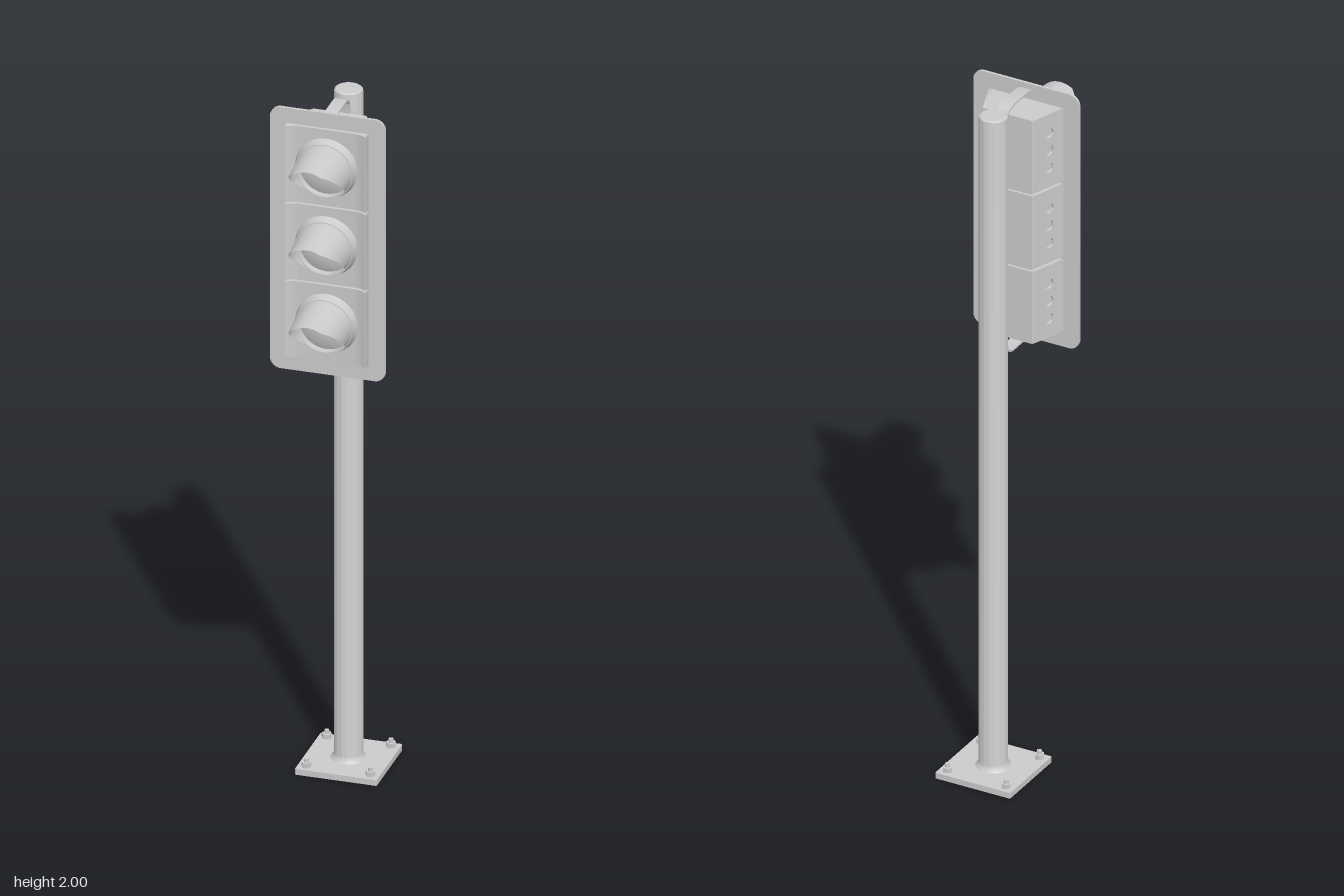
import * as THREE from 'three';
import { toCreasedNormals } from 'three/addons/utils/BufferGeometryUtils.js';

const material = new THREE.MeshStandardMaterial({ color: 0xcccccc });
const thinMaterial = new THREE.MeshStandardMaterial({ color: 0xcccccc, side: THREE.DoubleSide });
const MID_Y = 1.615, PITCH = 0.229, SECTION_H = 0.219, POLE_Z = -0.127;

function add(parent, name, geometry, x = 0, y = 0, z = 0, mat = material) {
  const mesh = new THREE.Mesh(geometry, mat);
  mesh.name = name;
  mesh.position.set(x, y, z);
  parent.add(mesh);
  return mesh;
}

const polygon = pts => new THREE.Shape(pts.map(p => new THREE.Vector2(...p)));
const extrude = (shape, depth, extra = {}) => toCreasedNormals(
  new THREE.ExtrudeGeometry(shape, { depth, bevelEnabled: false, curveSegments: 20, ...extra }), 0.6);

// Prism with an [x, z] outline, standing centred in y
function prism(outline, height) {
  const g = extrude(polygon(outline.map(([x, z]) => [x, -z])), height);
  return g.rotateX(-Math.PI / 2).translate(0, -height / 2, 0);
}

// Symmetric outline from its +x half
const mirrored = half => [...half, ...half.map(([x, z]) => [-x, z]).reverse()];

// Turned part from [radius, position] pairs
const turned = (pts, segments = 48) => toCreasedNormals(
  new THREE.LatheGeometry(pts.map(p => new THREE.Vector2(...p)), segments), 0.6);

function roundedRect(w, h, r) {
  const s = new THREE.Shape(), x = w / 2, y = h / 2;
  s.absarc(x - r, y - r, r, 0, Math.PI / 2);
  s.absarc(-x + r, y - r, r, Math.PI / 2, Math.PI);
  s.absarc(-x + r, -y + r, r, Math.PI, Math.PI * 1.5);
  s.absarc(x - r, -y + r, r, Math.PI * 1.5, Math.PI * 2);
  return s;
}

// Hex nut with a washer and a stud, standing on y = 0
function makeBolt(name, scale = 1) {
  const bolt = new THREE.Group();
  bolt.name = name;
  add(bolt, 'washer', new THREE.CylinderGeometry(0.012, 0.012, 0.003, 24), 0, 0.0015);
  const nut = new THREE.CylinderGeometry(0.014, 0.014, 0.011, 6).toNonIndexed();
  nut.computeVertexNormals();
  nut.rotateY(Math.PI / 6);
  add(bolt, 'nut', nut, 0, 0.0085);
  add(bolt, 'stud', new THREE.CylinderGeometry(0.0065, 0.007, 0.024, 20), 0, 0.012);
  bolt.scale.setScalar(scale);
  return bolt;
}

// Tapered hood, cut along a slope so that only its top reaches the tip
function visorGeometry() {
  const g = new THREE.PlaneGeometry(1, 1, 40, 24), p = g.attributes.position;
  for (let i = 0; i < p.count; i++) {
    const t = 0.5 - p.getY(i), z = 0.076 + t * 0.162;
    const r = 0.078 - 0.012 * t;
    const cut = -0.068 + t * 0.124;
    const a = 2 * p.getX(i) * Math.acos(cut / r);
    p.setXYZ(i, r * Math.sin(a), r * Math.cos(a), z);
  }
  g.computeVertexNormals();
  return g;
}

// Slanted side panel of a housing section with three round recesses
function sidePanelGeometry(length) {
  const shape = roundedRect(length, SECTION_H, 0.002);
  for (const k of [-1, 0, 1]) {
    const hole = new THREE.Path();
    hole.absarc(0, k * 0.053, 0.015, 0, Math.PI * 2, true);
    shape.holes.push(hole);
  }
  return extrude(shape, 0.009).translate(0, 0, -0.009);
}

// One lamp section: housing, door, collar, lens and visor
function makeSection() {
  const section = new THREE.Group();
  section.name = 'lampSection';
  add(section, 'housing', prism(mirrored([[0.104, 0.051], [0.071, -0.044], [0.068, -0.05]]), SECTION_H));

  const front = [0.113, 0.05], back = [0.078, -0.043];
  const dx = front[0] - back[0], dz = front[1] - back[1];
  const panel = sidePanelGeometry(Math.hypot(dx, dz));
  for (const s of [-1, 1]) {
    const side = add(section, 'sidePanel', panel, s * (front[0] + back[0]) / 2, 0, (front[1] + back[1]) / 2);
    side.rotation.y = s * (Math.PI / 2 + Math.atan2(dx, dz));
    add(section, 'backCorner', prism([[s * 0.06, -0.04], [s * 0.078, -0.043], [s * 0.074, -0.05], [s * 0.06, -0.05]], SECTION_H));
  }

  const door = [[0.113, 0.056], [0.113, 0.078], [0.108, 0.077], [0.1, 0.073], [0.09, 0.069], [0.078, 0.067]];
  add(section, 'door', prism(mirrored(door), PITCH - 0.005));
  const collar = turned([[0.088, 0.06], [0.085, 0.072], [0.08, 0.084], [0.079, 0.092],
    [0.074, 0.092], [0.074, 0.066]].reverse());
  add(section, 'collar', collar.rotateX(Math.PI / 2), 0, 0, 0, thinMaterial);
  const lens = turned([[0.075, 0.07], [0.06, 0.077], [0.04, 0.082], [0.02, 0.085], [0, 0.086]]);
  add(section, 'lens', lens.rotateX(Math.PI / 2), 0, 0, 0, thinMaterial);
  add(section, 'visor', visorGeometry(), 0, 0, 0, thinMaterial);
  return section;
}

// Bent strap from the backboard to the pole; s = 1 above, -1 below
function makeBracket(s) {
  const bracket = new THREE.Group();
  bracket.name = s > 0 ? 'upperBracket' : 'lowerBracket';
  const o = new THREE.Shape();
  o.moveTo(0.052, s * 0.368);
  o.lineTo(0.03, s * 0.374);
  o.lineTo(-0.045, s * 0.374);
  o.quadraticCurveTo(-0.083, s * 0.373, -0.084, s * 0.345);
  o.lineTo(-0.088, s * 0.282);
  o.lineTo(-0.083, s * 0.282);
  o.lineTo(-0.079, s * 0.345);
  o.quadraticCurveTo(-0.078, s * 0.368, -0.045, s * 0.369);
  o.lineTo(0.03, s * 0.369);
  o.lineTo(0.052, s * 0.363);
  const strap = extrude(o, 0.036).rotateY(-Math.PI / 2).translate(0.018, 0, 0);
  add(bracket, 'strap', strap);
  add(bracket, 'strapFoot', new THREE.BoxGeometry(0.036, 0.024, 0.005), 0, s * 0.356, 0.049);
  const bolt = makeBolt('bracketBolt', 0.85);
  bolt.rotation.x = Math.PI / 2;
  bolt.position.set(0, s * 0.3, -0.083);
  bracket.add(bolt);
  bracket.position.y = MID_Y;
  return bracket;
}

export function createModel() {
  const model = new THREE.Group();
  model.name = 'trafficSignal';

  // Base plate with four anchor bolts
  const plate = extrude(roundedRect(0.227, 0.227, 0.004), 0.017).rotateX(-Math.PI / 2);
  add(model, 'basePlate', plate, 0, 0, POLE_Z);
  for (const x of [-0.089, 0.089]) for (const z of [-0.09, 0.09]) {
    const bolt = makeBolt('anchorBolt');
    bolt.position.set(x, 0.017, POLE_Z + z);
    model.add(bolt);
  }

  // Pole with a weld flare below and a rounded cap
  add(model, 'pole', turned([[0, 0.015], [0.05, 0.015], [0.046, 0.02], [0.041, 0.026], [0.039, 0.034],
    [0.039, 1.98], [0.038, 1.986], [0.034, 1.989], [0, 1.99]]), 0, 0, POLE_Z);

  // Signal head
  const board = extrude(roundedRect(0.32, 0.77, 0.03), 0.008);
  add(model, 'backboard', board, 0, MID_Y, 0.05);
  for (const k of [-1, 0, 1]) {
    const section = makeSection();
    section.position.y = MID_Y + k * PITCH;
    model.add(section);
  }
  add(model, 'housingCore', prism(mirrored([[0.1, 0.05], [0.068, -0.043]]), 2 * PITCH), 0, MID_Y);
  for (const s of [-1, 1]) model.add(makeBracket(s));
  return model;
}
